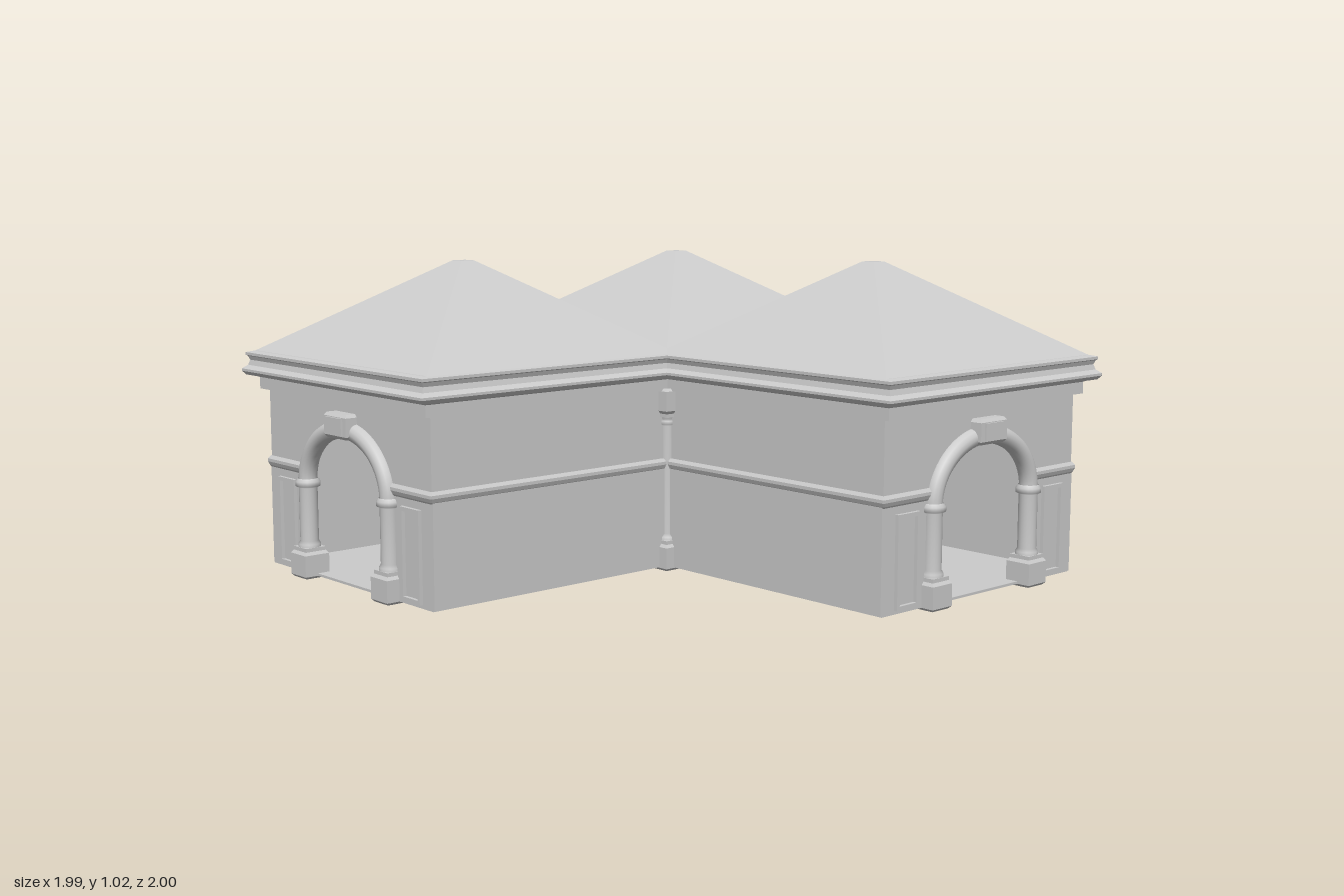
import * as THREE from 'three';

const flat = new THREE.MeshStandardMaterial({ color: 0xcccccc, flatShading: true, side: THREE.DoubleSide });
const smooth = new THREE.MeshStandardMaterial({ color: 0xcccccc, side: THREE.DoubleSide });

function add(parent, name, geometry, material = flat, x = 0, y = 0, z = 0) {
  const mesh = new THREE.Mesh(geometry, material);
  mesh.name = name;
  mesh.position.set(x, y, z);
  parent.add(mesh);
  return mesh;
}

// Stack of rectangles: each profile point is [outward offset, height]
function rectLoft([x0, x1, z0, z1], profile) {
  const pos = [], idx = [];
  profile.forEach(([o, y], i) => {
    pos.push(x0 - o, y, z1 + o, x1 + o, y, z1 + o, x1 + o, y, z0 - o, x0 - o, y, z0 - o);
    if (i === 0) return;
    for (let k = 0; k < 4; k++) {
      const n = (k + 1) % 4, a = (i - 1) * 4, b = i * 4;
      idx.push(a + k, a + n, b + n, a + k, b + n, b + k);
    }
  });
  const top = (profile.length - 1) * 4;
  idx.push(0, 2, 1, 0, 3, 2, top, top + 1, top + 2, top, top + 2, top + 3);
  const g = new THREE.BufferGeometry();
  g.setAttribute('position', new THREE.Float32BufferAttribute(pos, 3));
  g.setIndex(idx);
  g.computeVertexNormals();
  return g;
}

// Square block with bevelled ends, used for bases and capitals
const block = (h) => rectLoft([0, 0, 0, 0],
  [[0.037, 0], [0.0445, 0.008], [0.0445, h - 0.022], [0.037, h - 0.012], [0.037, h]]);

const lathe = (pts) => new THREE.LatheGeometry(pts.map(([r, y]) => new THREE.Vector2(r, y)), 20);

function column(x, z, angle = 0) {
  const g = new THREE.Group();
  g.name = 'column';
  add(g, 'columnBase', block(0.1));
  add(g, 'columnShaft', lathe([[0.034, 0.095], [0.034, 0.11], [0.025, 0.12], [0.025, 0.48],
    [0.031, 0.485], [0.031, 0.497], [0.026, 0.5], [0.034, 0.515]]), smooth);
  add(g, 'columnCapital', block(0.095)).position.y = 0.605;
  g.children[2].rotation.x = Math.PI;
  g.position.set(x, 0, z);
  g.rotation.y = angle;
  return g;
}

// Entrance arch: two piers, curved moulding, keystone and side panels
function archway(cx) {
  const g = new THREE.Group();
  g.name = 'archway';
  g.position.x = cx;
  for (const s of [-1, 1]) {
    add(g, 'pierBase', block(0.1), flat, s * 0.235);
    add(g, 'pierShaft', lathe([[0.036, 0.095], [0.036, 0.11], [0.03, 0.12], [0.03, 0.295],
      [0.04, 0.3], [0.04, 0.315], [0.032, 0.325]]), smooth, s * 0.235);
    const frame = new THREE.Shape([[-0.05, 0.02], [0.05, 0.02], [0.05, 0.31], [-0.05, 0.31]].map((p) => new THREE.Vector2(...p)));
    frame.holes.push(new THREE.Path([[-0.038, 0.033], [-0.038, 0.297], [0.038, 0.297], [0.038, 0.033]].map((p) => new THREE.Vector2(...p))));
    add(g, 'panelFrame', new THREE.ExtrudeGeometry(frame, { depth: 0.012, bevelEnabled: false }), flat, s * 0.355);
  }
  const arc = new THREE.EllipseCurve(0, 0.315, 0.235, 0.193, Math.PI, 0, true)
    .getPoints(32).map((p) => new THREE.Vector3(p.x, p.y, 0));
  add(g, 'archMoulding', new THREE.TubeGeometry(new THREE.CatmullRomCurve3(arc), 48, 0.03, 14), smooth);
  const key = rectLoft([-0.055, 0.055, -0.033, 0.033], [[0, -0.04], [0.008, -0.03], [0.008, 0.03], [0, 0.04]]);
  add(g, 'keystone', key, flat, 0, 0.523, 0);
  add(g, 'keystoneFace', new THREE.BoxGeometry(0.09, 0.055, 0.012), flat, 0, 0.523, 0.041);
  return g;
}

// One wall running from a to b, outside on its local +z
function wall(a, b, arched) {
  const dx = b[0] - a[0], dz = b[1] - a[1], len = Math.hypot(dx, dz), c = len / 2;
  const g = new THREE.Group();
  g.name = arched ? 'entranceWall' : 'wall';
  g.position.set(a[0], 0, a[1]);
  g.rotation.y = Math.atan2(-dz, dx);
  const shape = new THREE.Shape();
  shape.moveTo(0, 0.01);
  if (arched) {
    shape.lineTo(c - 0.23, 0.01);
    shape.lineTo(c - 0.23, 0.315);
    shape.absellipse(c, 0.315, 0.23, 0.19, Math.PI, 0, true);
    shape.lineTo(c + 0.23, 0.01);
  }
  shape.lineTo(len, 0.01);
  shape.lineTo(len, 0.61);
  shape.lineTo(0, 0.61);
  add(g, 'wallFace', new THREE.ExtrudeGeometry(shape, { depth: 0.02, bevelEnabled: false, curveSegments: 24 }), flat, 0, 0, -0.02);
  // Moulded rail at mid height, interrupted by an arch
  const runs = arched ? [[0, c - 0.24], [c + 0.24, len]] : [[0, len]];
  for (const [s, e] of runs) {
    const rail = rectLoft([s, e, -0.01, 0.003], [[0, 0.335], [0.003, 0.34], [0.008, 0.352], [0.008, 0.362], [0, 0.372]]);
    add(g, 'wallRail', rail);
    if (!arched) add(g, 'lowerWall', new THREE.BoxGeometry(e - s, 0.33, 0.006), flat, (s + e) / 2, 0.175, 0.002);
  }
  if (arched) g.add(archway(c));
  return g;
}

export function createModel() {
  const model = new THREE.Group();
  model.name = 'building';

  // L-shaped plan with one cut corner, as x, z
  const plan = [[-0.93, -0.01], [0.01, -0.01], [0.01, 0.93], [0.93, 0.93],
    [0.93, -0.86], [0.86, -0.93], [-0.93, -0.93]];
  plan.forEach((p, i) => model.add(wall(p, plan[(i + 1) % plan.length], i === 2 || i === 6)));

  const floor = new THREE.ExtrudeGeometry(new THREE.Shape(plan.map(([x, z]) => new THREE.Vector2(x, -z))),
    { depth: 0.008, bevelEnabled: false });
  add(model, 'floor', floor.rotateX(-Math.PI / 2), flat, 0, 0.008, 0);

  // Columns at the wall joints and corners
  model.add(column(0.925, 0), column(0, -0.925), column(0.9, -0.9, Math.PI / 4), column(0.015, -0.015));

  // Cornices of the two wings
  const cornice = [[-0.44, 0.597], [0.018, 0.597], [0.018, 0.635], [0.03, 0.64], [0.05, 0.643],
    [0.06, 0.655], [0.06, 0.663], [0.045, 0.675], [0.04, 0.692], [0.045, 0.705], [0.05, 0.708], [0.05, 0.717], [0.03, 0.722]];
  add(model, 'sideWingCornice', rectLoft([-0.94, 0.02, -0.925, -0.012], cornice));
  add(model, 'mainWingCornice', rectLoft([0.015, 0.928, -0.94, 0.938], cornice));

  // Three hipped roofs with small flat tops, meeting in valleys
  for (const [x, z] of [[-0.47, -0.47], [0.47, -0.47], [0.47, 0.47]]) {
    add(model, 'roof', rectLoft([x, x, z, z], [[0.502, 0.715], [0.025, 1.02]]));
  }
  return model;
}
